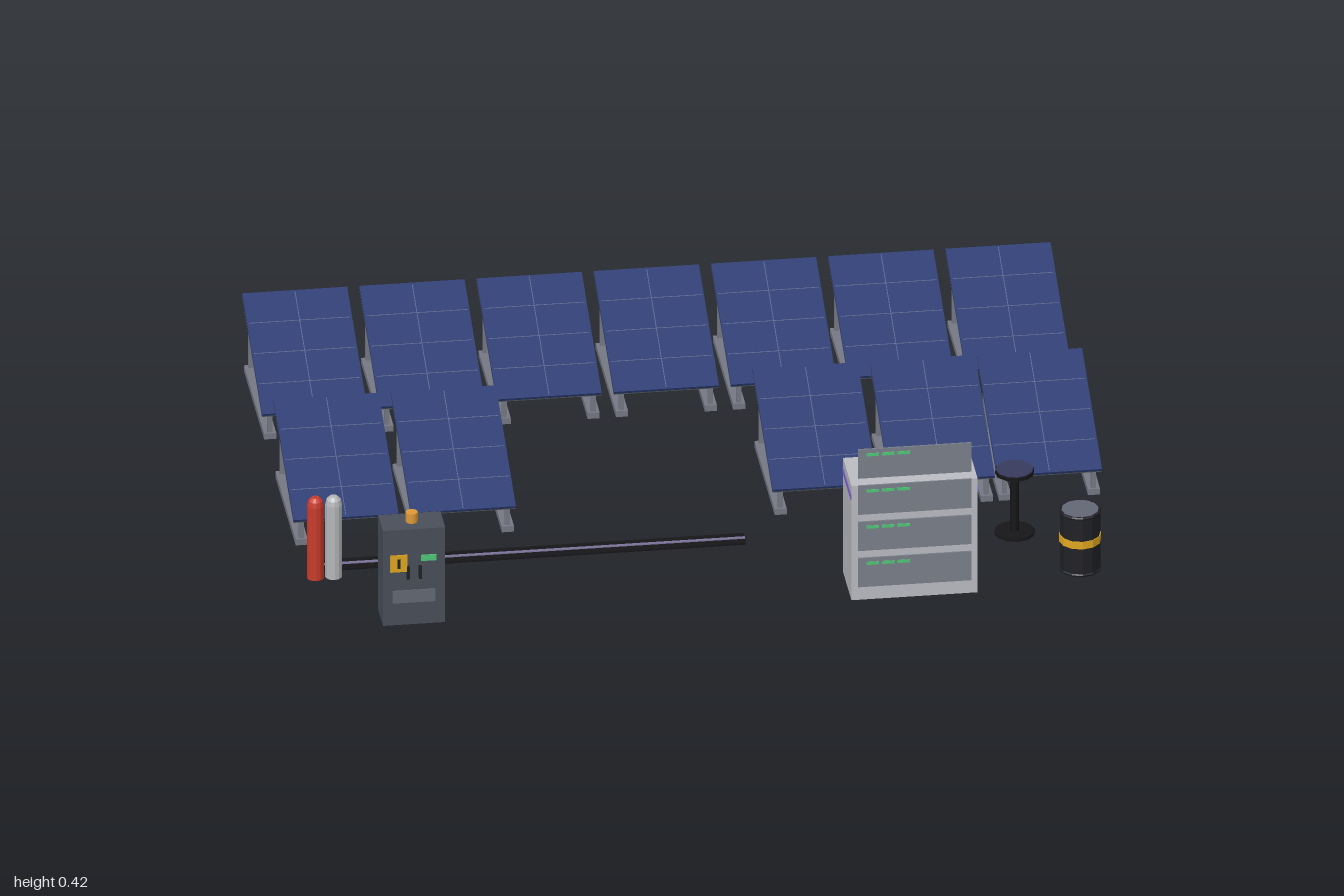
import * as THREE from 'three';

const mat = (color) => new THREE.MeshStandardMaterial({ color, flatShading: true });
const M = {
  cell: mat(0x2a3a72), line: mat(0x5a6890), back: mat(0x66676b), steel: mat(0x767984),
  dark: mat(0x202126), black: mat(0x161618), cabinet: mat(0xbcbec3), rack: mat(0x7c828c),
  purple: mat(0x7d62d0), green: mat(0x50c878), locker: mat(0x4a4f5a), lockerTrim: mat(0x646a74),
  yellow: mat(0xe0a820), amber: mat(0xe09a38), red: mat(0xc83c2c), silver: mat(0xb4b7b8),
  tableTop: mat(0x393b5e), lid: mat(0x646876), stripe: mat(0x7c7499),
};

function add(parent, name, geometry, material, x, y, z) {
  const mesh = new THREE.Mesh(geometry, material);
  mesh.name = name;
  mesh.position.set(x, y, z);
  parent.add(mesh);
  return mesh;
}
const box = (p, name, m, w, h, d, x, y, z) => add(p, name, new THREE.BoxGeometry(w, h, d), m, x, y, z);
// Cylinder standing on height y
const cyl = (p, name, m, r, h, x, y, z, n = 12) =>
  add(p, name, new THREE.CylinderGeometry(r, r, h, n), m, x, y + h / 2, z);

function group(parent, name, x = 0, z = 0) {
  const g = new THREE.Group();
  g.name = name;
  g.position.set(x, 0, z);
  parent.add(g);
  return g;
}

// Tilted solar panel on two rail-and-post frames
function solarPanel(parent, x, z) {
  const g = group(parent, 'solarPanel', x, z);
  const tilt = 0.39, W = 0.26, L = 0.39;
  const plate = group(g, 'panelPlate');
  plate.position.y = 0.139;
  plate.rotation.x = tilt;
  box(plate, 'cellSheet', M.cell, W, 0.007, L, 0, 0.0015, 0);
  box(plate, 'backSheet', M.back, W, 0.003, L, 0, -0.0035, 0);
  box(plate, 'cellDivider', M.line, 0.002, 0.001, L - 0.01, 0, 0.0052, 0);
  for (const i of [-1, 0, 1])
    box(plate, 'cellDivider', M.line, W - 0.01, 0.001, 0.002, 0, 0.0052, i * L / 4);
  for (const s of [-1, 1]) {
    box(g, 'baseRail', M.steel, 0.03, 0.016, 0.366, s * 0.11, 0.008, 0);
    for (const pz of [-0.172, 0.172]) {
      const h = 0.134 - pz * Math.tan(tilt);
      box(g, 'supportPost', M.steel, 0.012, h, 0.01, s * 0.11, h / 2, pz);
    }
  }
}

function serverCabinet(parent) {
  const g = group(parent, 'equipmentCabinet', 0.471, 0.625);
  box(g, 'cabinetBody', M.cabinet, 0.312, 0.315, 0.152, 0, 0.1575, 0);
  box(g, 'accentBand', M.purple, 0.316, 0.014, 0.15, 0, 0.284, 0);
  // Four front modules, the uppermost raised above the cabinet
  for (let i = 0; i < 4; i++) {
    const y = 0.077 + i * 0.1;
    box(g, 'frontModule', M.rack, 0.28, 0.08, 0.004, 0, y, 0.079);
    for (let k = 0; k < 3; k++)
      box(g, 'statusLight', M.green, 0.031, 0.008, 0.002, -0.104 + k * 0.038, y + 0.025, 0.0815);
  }
}

function controlLocker(parent) {
  const g = group(parent, 'controlLocker', -0.764, 0.637);
  box(g, 'lockerBody', M.locker, 0.154, 0.262, 0.086, 0, 0.131, 0);
  box(g, 'warningPlate', M.yellow, 0.042, 0.046, 0.004, -0.038, 0.17, 0.044);
  box(g, 'warningMark', M.dark, 0.008, 0.026, 0.002, -0.038, 0.17, 0.047);
  box(g, 'displayScreen', M.green, 0.038, 0.016, 0.004, 0.036, 0.182, 0.044);
  box(g, 'ventPanel', M.lockerTrim, 0.106, 0.034, 0.003, 0, 0.078, 0.044);
  for (const x of [-0.015, 0.015])
    box(g, 'handle', M.dark, 0.007, 0.034, 0.01, x, 0.145, 0.047);
  cyl(g, 'beacon', M.amber, 0.015, 0.026, 0, 0.262, 0);
}

// Gas bottle with a domed top
function bottle(parent, name, m, x) {
  const profile = [[0, 0], [0.021, 0], [0.021, 0.2], [0.018, 0.213], [0.01, 0.221], [0, 0.222]];
  const geo = new THREE.LatheGeometry(profile.map(([r, y]) => new THREE.Vector2(r, y)), 12);
  add(parent, name, geo, m, x, 0, 0.402);
}

function barrel(parent) {
  const g = group(parent, 'barrel', 0.893, 0.61);
  cyl(g, 'barrelBody', M.dark, 0.05, 0.16, 0, 0, 0);
  cyl(g, 'barrelBand', M.yellow, 0.052, 0.02, 0, 0.079, 0);
  cyl(g, 'barrelLid', M.lid, 0.046, 0.006, 0, 0.16, 0);
  for (const y of [0.006, 0.162]) {
    const rim = add(g, 'barrelRim', new THREE.TorusGeometry(0.049, 0.004, 6, 12), M.dark, 0, y, 0);
    rim.rotation.x = Math.PI / 2;
  }
}

function pedestalTable(parent) {
  const g = group(parent, 'pedestalTable', 0.76, 0.4);
  cyl(g, 'tableBase', M.black, 0.05, 0.007, 0, 0, 0);
  cyl(g, 'tablePost', M.black, 0.011, 0.165, 0, 0.004, 0, 8);
  cyl(g, 'tableRim', M.black, 0.048, 0.01, 0, 0.165, 0);
  cyl(g, 'tableTop', M.tableTop, 0.046, 0.003, 0, 0.175, 0);
}

function cableTray(parent) {
  const g = group(parent, 'cableTray', -0.425, 0.347);
  box(g, 'trayBase', M.black, 1.05, 0.005, 0.054, 0, 0.0025, 0);
  box(g, 'trayStripe', M.stripe, 1.05, 0.002, 0.01, 0, 0.006, 0);
}

export function createModel() {
  const model = new THREE.Group();
  model.name = 'solarStation';
  // Full back row, and a front row with an open bay
  for (let i = -3; i <= 3; i++) solarPanel(model, i * 0.29, -0.522);
  for (const x of [-0.87, -0.58, 0.315, 0.605, 0.87]) solarPanel(model, x, 0.045);
  serverCabinet(model);
  controlLocker(model);
  bottle(model, 'redBottle', M.red, -0.97);
  bottle(model, 'silverBottle', M.silver, -0.925);
  barrel(model);
  pedestalTable(model);
  cableTray(model);
  return model;
}
